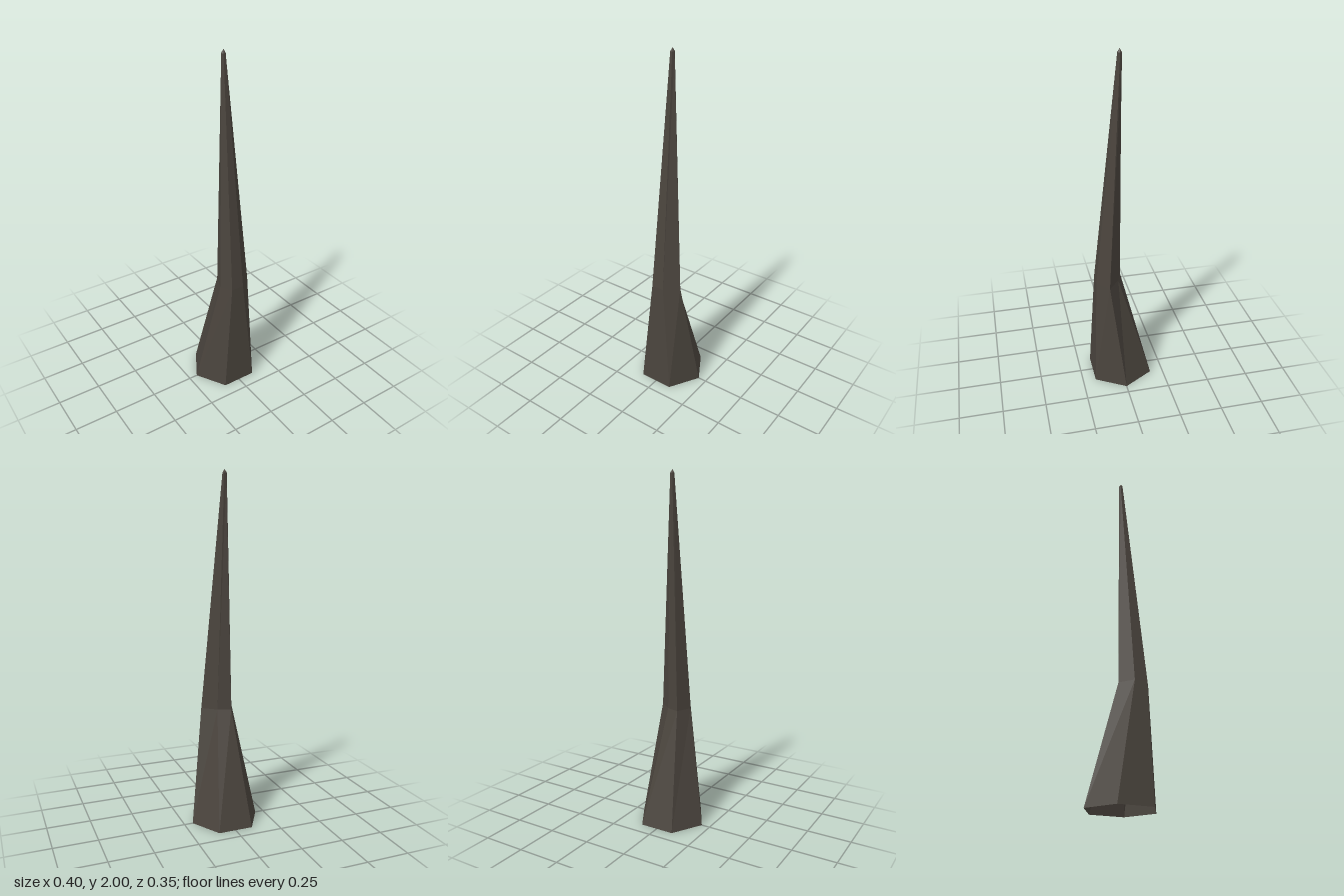
import * as THREE from 'three';

const SIDES = 6;

// One hexagonal cross-section with corners on the +x and -x axes
function ring(radius, y, z = 0) {
  return Array.from({ length: SIDES }, (_, i) => {
    const a = (i / SIDES) * Math.PI * 2;
    return new THREE.Vector3(Math.cos(a) * radius, y, z + Math.sin(a) * radius);
  });
}

// Join successive rings into an open, flat-faced skin
function skin(rings) {
  const points = [];
  for (let r = 0; r < rings.length - 1; r++) {
    const low = rings[r], high = rings[r + 1];
    for (let i = 0; i < SIDES; i++) {
      const j = (i + 1) % SIDES;
      points.push(low[j], low[i], high[i]);
      if (!high[i].equals(high[j])) points.push(low[j], high[i], high[j]);
    }
  }
  const geometry = new THREE.BufferGeometry().setFromPoints(points);
  geometry.computeVertexNormals();
  return geometry;
}

export function createModel() {
  const group = new THREE.Group();
  group.name = 'spike';

  const darkStone = new THREE.MeshStandardMaterial({ color: 0x4a443d, flatShading: true, side: THREE.DoubleSide });
  darkStone.name = 'darkStone';

  // Bent waist: shifted forward, with two corners pulled out of line
  const waist = ring(0.075, 0.667, 0.081);
  waist[0].x += 0.038;
  waist[4].z -= 0.026;

  const tip = new THREE.Vector3(0, 2, 0);
  const shaft = new THREE.Mesh(
    skin([ring(0.2, 0), waist, ring(0.0125, 1.98), Array(SIDES).fill(tip)]),
    darkStone
  );
  shaft.name = 'spikeShaft';
  group.add(shaft);
  return group;
}
